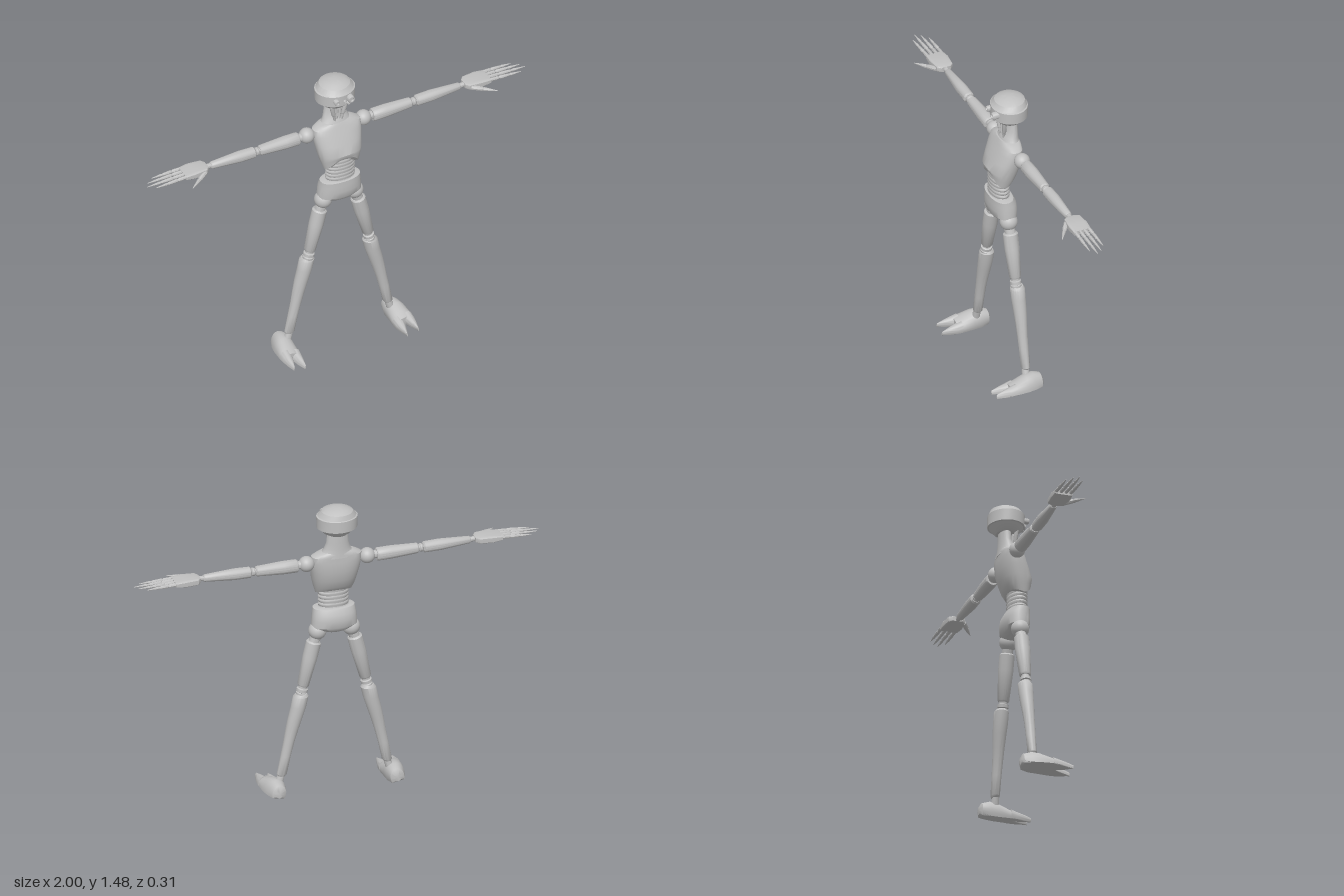
import * as THREE from 'three';
import { toCreasedNormals } from 'three/addons/utils/BufferGeometryUtils.js';

const metal = new THREE.MeshStandardMaterial({ color: 0xc0c0c0 });
metal.name = 'greyMetal';

function add(parent, name, geometry) {
  const mesh = new THREE.Mesh(geometry, metal);
  mesh.name = name;
  parent.add(mesh);
  return mesh;
}

// Closed skin over rounded cross-sections [x, y, z, rx, rz]; warp(point, angle, ring) may bend it
function loft(rings, { n = 28, power = 2, crease = 0.6, warp } = {}) {
  const pos = [], idx = [];
  const round = v => Math.sign(v) * Math.pow(Math.abs(v), 2 / power);
  rings.forEach(([x, y, z, rx, rz], i) => {
    for (let j = 0; j < n; j++) {
      const a = (j / n) * Math.PI * 2;
      const p = new THREE.Vector3(x + rx * round(Math.cos(a)), y, z + rz * round(Math.sin(a)));
      if (warp) warp(p, a, i);
      pos.push(p.x, p.y, p.z);
    }
  });
  const last = (rings.length - 1) * n, c0 = rings.length * n;
  for (const r of [rings[0], rings[rings.length - 1]]) pos.push(r[0], r[1], r[2]);
  for (let j = 0; j < n; j++) {
    const k = (j + 1) % n;
    for (let i = 0; i < last; i += n) {
      idx.push(i + j, i + n + j, i + k, i + k, i + n + j, i + n + k);
    }
    idx.push(c0, j, k, c0 + 1, last + k, last + j);
  }
  const g = new THREE.BufferGeometry();
  g.setAttribute('position', new THREE.Float32BufferAttribute(pos, 3));
  g.setIndex(idx);
  return toCreasedNormals(g, crease);
}

// Turned part between two points; profile is [fraction along, radius]
function limb(parent, name, a, b, profile, sides = 20) {
  const from = new THREE.Vector3(...a), dir = new THREE.Vector3(...b).sub(from);
  const length = dir.length();
  const pts = [[profile[0][0], 0], ...profile, [profile[profile.length - 1][0], 0]]
    .map(([t, r]) => new THREE.Vector2(r, t * length));
  const mesh = add(parent, name, toCreasedNormals(new THREE.LatheGeometry(pts, sides), 0.6));
  mesh.position.copy(from);
  mesh.quaternion.setFromUnitVectors(new THREE.Vector3(0, 1, 0), dir.normalize());
}

function ball(parent, name, p, r) {
  add(parent, name, new THREE.SphereGeometry(r, 24, 16)).position.set(...p);
}

function buildHead(root) {
  const head = new THREE.Group();
  head.name = 'head';
  root.add(head);
  add(head, 'skull', loft([
    [0, 1.342, -0.065, 0.05, 0.05], [0, 1.352, -0.065, 0.068, 0.06],
    [0, 1.376, -0.066, 0.088, 0.08], [0, 1.378, -0.066, 0.097, 0.087],
    [0, 1.434, -0.066, 0.099, 0.087], [0, 1.437, -0.066, 0.092, 0.083],
    [0, 1.46, -0.069, 0.075, 0.072], [0, 1.472, -0.07, 0.052, 0.05],
    [0, 1.479, -0.066, 0.02, 0.022],
  ], { crease: 0.45 }));
  // Lenses: one large eye each side and two small sensors
  for (const [x, y, r, z] of [[-0.035, 1.41, 0.014, 0.034], [0.036, 1.413, 0.018, 0.04],
    [0.008, 1.402, 0.008, 0.032], [0.026, 1.389, 0.008, 0.03]]) {
    limb(head, 'eye', [x, y, -0.02], [x, y, z],
      [[0, r], [0.85, r], [1, r * 0.85], [1, r * 0.6], [0.9, r * 0.5]], 16);
  }
  // Neck column and the cables converging in front of it
  add(head, 'neck', loft([
    [0, 1.225, -0.06, 0.1, 0.048], [0, 1.245, -0.061, 0.076, 0.045],
    [0, 1.27, -0.066, 0.063, 0.038], [0, 1.30, -0.073, 0.055, 0.03],
    [0, 1.355, -0.074, 0.05, 0.027],
  ]));
  for (const s of [-1, 1]) {
    limb(head, 'outerNeckCable', [s * 0.014, 1.25, -0.032], [s * 0.038, 1.355, -0.026],
      [[0, 0.006], [0.4, 0.007], [0.45, 0.01], [1, 0.011]], 12);
    limb(head, 'innerNeckCable', [s * 0.005, 1.25, -0.034], [s * 0.014, 1.355, -0.034],
      [[0, 0.006], [1, 0.008]], 12);
  }
}

function buildBody(root) {
  // Chest shell, its lower rim arched at the front
  add(root, 'chest', loft([
    [0, 1.02, -0.008, 0.088, 0.054], [0, 1.06, -0.015, 0.1, 0.063],
    [0, 1.10, -0.021, 0.11, 0.071], [0, 1.15, -0.037, 0.118, 0.068],
    [0, 1.20, -0.048, 0.125, 0.058], [0, 1.228, -0.054, 0.122, 0.051],
    [0, 1.242, -0.057, 0.098, 0.048], [0, 1.252, -0.058, 0.07, 0.044],
  ], {
    n: 36, power: 2.4,
    warp: (p, a, i) => {
      const front = Math.max(0, Math.sin(a)) ** 2, back = Math.max(0, -Math.sin(a));
      p.y += (i === 0 ? 0.065 : i === 1 ? 0.033 : 0) * front + (i === 0 ? 0.02 * back : 0);
    },
  }));
  // Ribbed waist
  const ribs = 7, bellows = [];
  for (let i = 0; i <= ribs * 4; i++) {
    const t = i / (ribs * 4), k = 1 - 0.06 * Math.abs(Math.cos(t * ribs * Math.PI)) ** 3;
    bellows.push([0, 0.93 + 0.135 * t, -0.012, 0.076 * k, 0.046 * k]);
  }
  add(root, 'waist', loft(bellows));
  add(root, 'pelvis', loft([
    [0, 0.82, -0.025, 0.045, 0.032], [0, 0.832, -0.025, 0.075, 0.05],
    [0, 0.85, -0.024, 0.112, 0.06], [0, 0.885, -0.023, 0.11, 0.064],
    [0, 0.915, -0.021, 0.106, 0.061], [0, 0.942, -0.014, 0.102, 0.053],
    [0, 0.945, -0.014, 0.09, 0.046],
  ], { power: 2.3 }));
}

function buildArm(root, s) {
  const arm = new THREE.Group();
  arm.name = s > 0 ? 'leftArm' : 'rightArm';
  root.add(arm);
  const z = -0.063;
  ball(arm, 'shoulderJoint', [s * 0.15, 1.2, z], 0.038);
  limb(arm, 'shoulderPin', [s * 0.15, 1.2, z], [s * 0.21, 1.2, z], [[0, 0.02], [1, 0.02]]);
  limb(arm, 'upperArm', [s * 0.195, 1.198, z], [s * 0.402, 1.2, z],
    [[0, 0.028], [0.03, 0.032], [0.35, 0.032], [0.97, 0.025], [1, 0.02]]);
  limb(arm, 'elbow', [s * 0.395, 1.2, z], [s * 0.435, 1.2, z],
    [[0, 0.016], [0.3, 0.016], [0.4, 0.02], [0.6, 0.02], [0.7, 0.016], [1, 0.016]]);
  limb(arm, 'forearm', [s * 0.425, 1.2, z], [s * 0.66, 1.204, z],
    [[0, 0.02], [0.03, 0.027], [0.35, 0.028], [0.97, 0.018], [1, 0.014]]);
  limb(arm, 'wrist', [s * 0.65, 1.204, z], [s * 0.7, 1.206, z], [[0, 0.012], [1, 0.012]]);
  // Flat palm, widening toward the knuckles
  const palm = loft([
    [0, 0.68, -0.064, 0.012, 0.024], [0, 0.695, -0.064, 0.016, 0.041],
    [0, 0.76, -0.064, 0.017, 0.048], [0, 0.808, -0.064, 0.011, 0.044],
  ], { power: 6, n: 24, crease: 0.4 });
  palm.rotateZ(-s * Math.PI / 2);
  palm.translate(0, 1.206, 0);
  add(arm, 'palm', palm);
  // Jointed fingers with pointed tips
  const tips = [0.95, 0.985, 1.0, 0.965];
  tips.forEach((tip, i) => {
    const fz = -0.1 + i * 0.0235;
    limb(arm, 'finger', [s * 0.79, 1.21, fz], [s * tip, 1.204, fz * 1.08 + 0.005],
      [[0, 0.008], [0.3, 0.009], [0.34, 0.006], [0.38, 0.009], [0.62, 0.007],
        [0.66, 0.005], [0.7, 0.007], [1, 0.0015]], 8);
  });
  limb(arm, 'thumb', [s * 0.705, 1.202, -0.028], [s * 0.808, 1.192, 0.042],
    [[0, 0.012], [0.4, 0.011], [0.45, 0.008], [0.5, 0.01], [1, 0.0015]], 8);
}

function buildLeg(root, s) {
  const leg = new THREE.Group();
  leg.name = s > 0 ? 'leftLeg' : 'rightLeg';
  root.add(leg);
  const z = -0.025;
  ball(leg, 'hipJoint', [s * 0.083, 0.826, z], 0.043);
  limb(leg, 'hipPin', [s * 0.083, 0.82, z], [s * 0.108, 0.75, z], [[0, 0.026], [1, 0.026]]);
  limb(leg, 'thigh', [s * 0.1, 0.775, z], [s * 0.155, 0.55, z],
    [[0, 0.03], [0.03, 0.036], [0.35, 0.036], [0.97, 0.028], [1, 0.024]]);
  limb(leg, 'knee', [s * 0.152, 0.56, z], [s * 0.167, 0.49, z],
    [[0, 0.02], [0.3, 0.02], [0.35, 0.027], [0.55, 0.027], [0.6, 0.021], [0.65, 0.026],
      [0.85, 0.026], [1, 0.02]]);
  // Shin with a full calf, bowed slightly outward
  add(leg, 'shin', loft([
    [0.262, 0.1, -0.028, 0.018, 0.018], [0.26, 0.108, -0.028, 0.024, 0.022],
    [0.241, 0.2, -0.028, 0.025, 0.023], [0.225, 0.27, -0.028, 0.027, 0.025],
    [0.211, 0.33, -0.029, 0.031, 0.028], [0.195, 0.39, -0.03, 0.035, 0.032],
    [0.178, 0.45, -0.03, 0.037, 0.035], [0.167, 0.5, -0.03, 0.037, 0.035],
    [0.165, 0.512, -0.03, 0.028, 0.027],
  ].map(([x, ...rest]) => [s * x, ...rest]), { n: 20 }));
  limb(leg, 'ankle', [s * 0.259, 0.11, z], [s * 0.275, 0.06, z], [[0, 0.016], [1, 0.02]]);

  // Tilted two-toed foot with a flat sole, built lengthwise and laid down along z
  const foot = new THREE.Group();
  foot.name = 'foot';
  foot.position.set(s * 0.295, 0.045, 0);
  foot.rotation.z = s * 0.2;
  leg.add(foot);
  const lay = rings => loft(
    rings.map(([pz, x, y, rx, ry]) => [s * x, pz, -y, rx, ry]),
    { power: 2.2, n: 24, warp: p => { p.z = Math.min(p.z, 0.033); } },
  ).rotateX(Math.PI / 2);
  add(foot, 'footBody', lay([
    [-0.098, -0.005, -0.008, 0.018, 0.02], [-0.088, -0.005, -0.012, 0.034, 0.043],
    [-0.05, -0.003, -0.016, 0.045, 0.06], [-0.01, 0, -0.018, 0.049, 0.058],
    [0.04, 0, -0.02, 0.052, 0.04], [0.075, 0, -0.022, 0.05, 0.032],
  ]));
  for (const side of [-1, 1]) {
    add(foot, 'toe', lay([
      [0.05, side * 0.026, -0.02, 0.026, 0.036], [0.08, side * 0.026, -0.022, 0.024, 0.03],
      [0.115, side * 0.028, -0.022, 0.015, 0.022], [0.153, side * 0.03, -0.022, 0.003, 0.011],
    ]));
  }
}

export function createModel() {
  const root = new THREE.Group();
  root.name = 'jointedRobot';
  buildHead(root);
  buildBody(root);
  for (const s of [-1, 1]) {
    buildArm(root, s);
    buildLeg(root, s);
  }
  return root;
}
